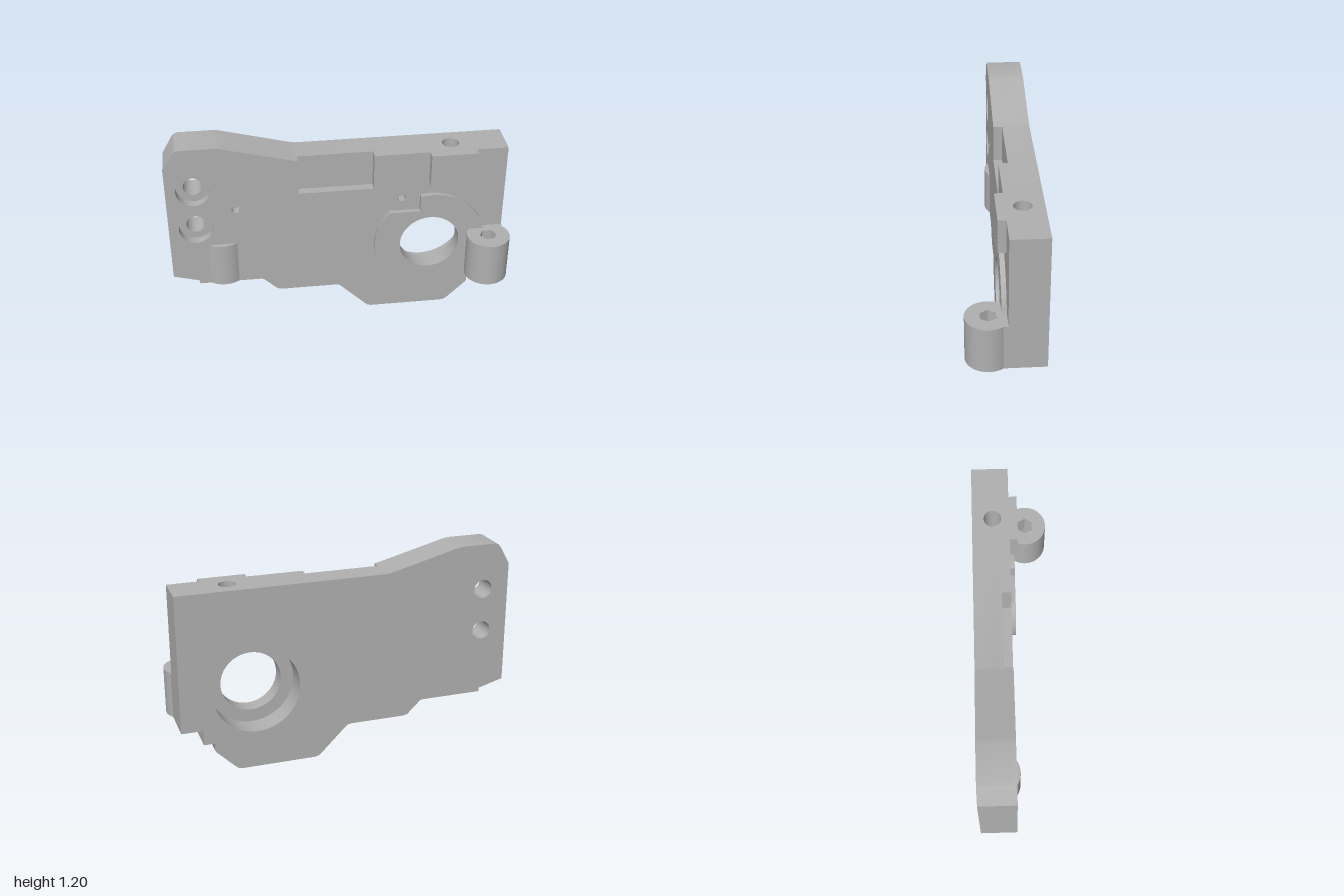
import * as THREE from 'three';
import { toCreasedNormals } from 'three/addons/utils/BufferGeometryUtils.js';

export function createModel() {
  const group = new THREE.Group();
  const grey = new THREE.MeshStandardMaterial({ color: 0xb0b0b0 });
  grey.name = 'machined grey';

  const add = (name, geometry) => {
    const mesh = new THREE.Mesh(geometry, grey);
    mesh.name = name;
    group.add(mesh);
  };
  const circle = (x, y, r) => new THREE.Path().absarc(x, y, r, 0, Math.PI * 2, false);
  const polygon = (pts) => new THREE.Shape(pts.map(([x, y]) => new THREE.Vector2(x, y)));
  const extrude = (shape, depth) => toCreasedNormals(
    new THREE.ExtrudeGeometry(shape, { depth, bevelEnabled: false, curveSegments: 40 }), 0.5);
  // Slab lying in xy, from z0 to z1
  const slab = (name, shape, z0, z1) => add(name, extrude(shape, z1 - z0).translate(0, 0, z0));
  // Upright prism; its shape is drawn as (x, -z)
  const upright = (name, shape, y0, y1) =>
    add(name, extrude(shape, y1 - y0).rotateX(-Math.PI / 2).translate(0, y0, 0));
  const box = (name, x0, x1, y0, y1, z0, z1) => add(name,
    new THREE.BoxGeometry(x1 - x0, y1 - y0, z1 - z0)
      .translate((x0 + x1) / 2, (y0 + y1) / 2, (z0 + z1) / 2));

  const back = -0.22, front = -0.008;
  const top = 1.082, base = 0.272, bossTop = 0.548;
  const bore = { x: 0.533, y: 0.475 };

  // Plate outline (clockwise), with slots for the two vertically drilled blocks
  const plate = (pocket, holes) => {
    const shape = polygon([
      [-1, 0.337], [-1, 1.07], [-0.94, 1.175], [-0.925, 1.192], [-0.905, 1.197],
      [-0.7, 1.197], [-0.67, 1.192], [-0.27, 1.087], [-0.242, top],
      ...(pocket ? [[-0.242, 0.863], [0.195, 0.863], [0.195, top]] : []),
      [0.595, top], [0.595, 0.883], [0.715, 0.883], [0.715, top],
      [0.975, top], [0.975, base], [0.787, base], [0.787, 0.14], [0.781, 0.127],
      [0.67, 0.018], [0.655, 0.006], [0.63, 0], [0.19, 0], [0.17, 0.006], [0.155, 0.018],
      [0.005, 0.168], [-0.01, 0.179], [-0.03, 0.183], [-0.36, 0.183], [-0.385, 0.19],
      [-0.465, 0.267], [-0.48, base],
      [-0.612, base], [-0.612, bossTop], [-0.782, bossTop], [-0.782, base],
      [-0.848, base], [-0.848, 0.294],
    ]);
    shape.holes = holes.map((h) => circle(...h));
    return shape;
  };
  const bolts = (r) => [[-0.843, 0.927, r], [-0.843, 0.67, r]];
  const pins = [[-0.606, 0.787, 0.025], [0.358, 0.787, 0.025]];

  // Plate in three layers: rear counterbore, bore lip, front recesses
  slab('plateBack', plate(false, [...bolts(0.055), [bore.x, bore.y, 0.253]]), back, -0.08);
  slab('plateMiddle', plate(false, [...bolts(0.055), [bore.x, bore.y, 0.178]]), -0.08, -0.06);
  slab('plateFront', plate(true, [...bolts(0.098), ...pins, [bore.x, bore.y, 0.178]]), -0.06, front);

  // Raised ring around the bore, notched at upper left and lower right
  const r = 0.332;
  const angleTo = (x, y) => Math.atan2(y - bore.y, x - bore.x);
  const ring = new THREE.Shape();
  ring.absarc(bore.x, bore.y, r, angleTo(0.29, 0.7), angleTo(0.76, 0.235) + Math.PI * 2, false);
  ring.lineTo(0.76, 0.31);
  ring.absarc(bore.x, bore.y, r, Math.asin((0.31 - bore.y) / r), angleTo(0.47, 0.801), false);
  ring.lineTo(0.47, 0.7);
  ring.closePath();
  ring.holes = [circle(bore.x, bore.y, 0.178)];
  slab('boreRing', ring, front, 0.02);

  // Block with the drilled hole in the top edge, and the pad in front of it
  const topBlock = polygon([[0.595, -front], [0.715, -front], [0.715, -back], [0.595, -back]]);
  topBlock.holes = [circle(0.655, 0.103, 0.05)];
  upright('topHoleBlock', topBlock, 0.883, top);
  box('topPad', 0.52, 0.792, 0.885, top, front, 0.038);

  // Shallow round boss drilled from below
  const leftBoss = new THREE.Shape();
  const half = Math.asin(0.085 / 0.135);
  leftBoss.moveTo(-0.612, -back);
  leftBoss.lineTo(-0.782, -back);
  leftBoss.absarc(-0.697, 0.115, 0.135, -Math.PI / 2 - half, -Math.PI / 2 + half, false);
  leftBoss.closePath();
  leftBoss.holes = [circle(-0.697, 0.115, 0.05)];
  upright('shallowBoss', leftBoss, base, bossTop);

  // Round hinge boss: hexagonal socket above, round hole below
  const hinge = (hole) => {
    const shape = new THREE.Shape().absarc(0.873, -0.093, 0.127, 0, Math.PI * 2, false);
    shape.holes = [hole];
    return shape;
  };
  const hex = new THREE.Path(Array.from({ length: 6 }, (_, i) => new THREE.Vector2(
    0.873 + 0.05 * Math.cos(i * Math.PI / 3), -0.093 + 0.05 * Math.sin(i * Math.PI / 3))));
  upright('hingeBossUpper', hinge(hex), 0.42, bossTop);
  upright('hingeBossLower', hinge(circle(0.873, -0.093, 0.05)), base, 0.42);
  box('hingeNeck', 0.787, 0.975, base, bossTop, front, 0.022);

  // Small step below the plate's corner
  box('cornerStep', 0.78, 0.85, 0.183, 0.28, back, -0.033);

  return group;
}
